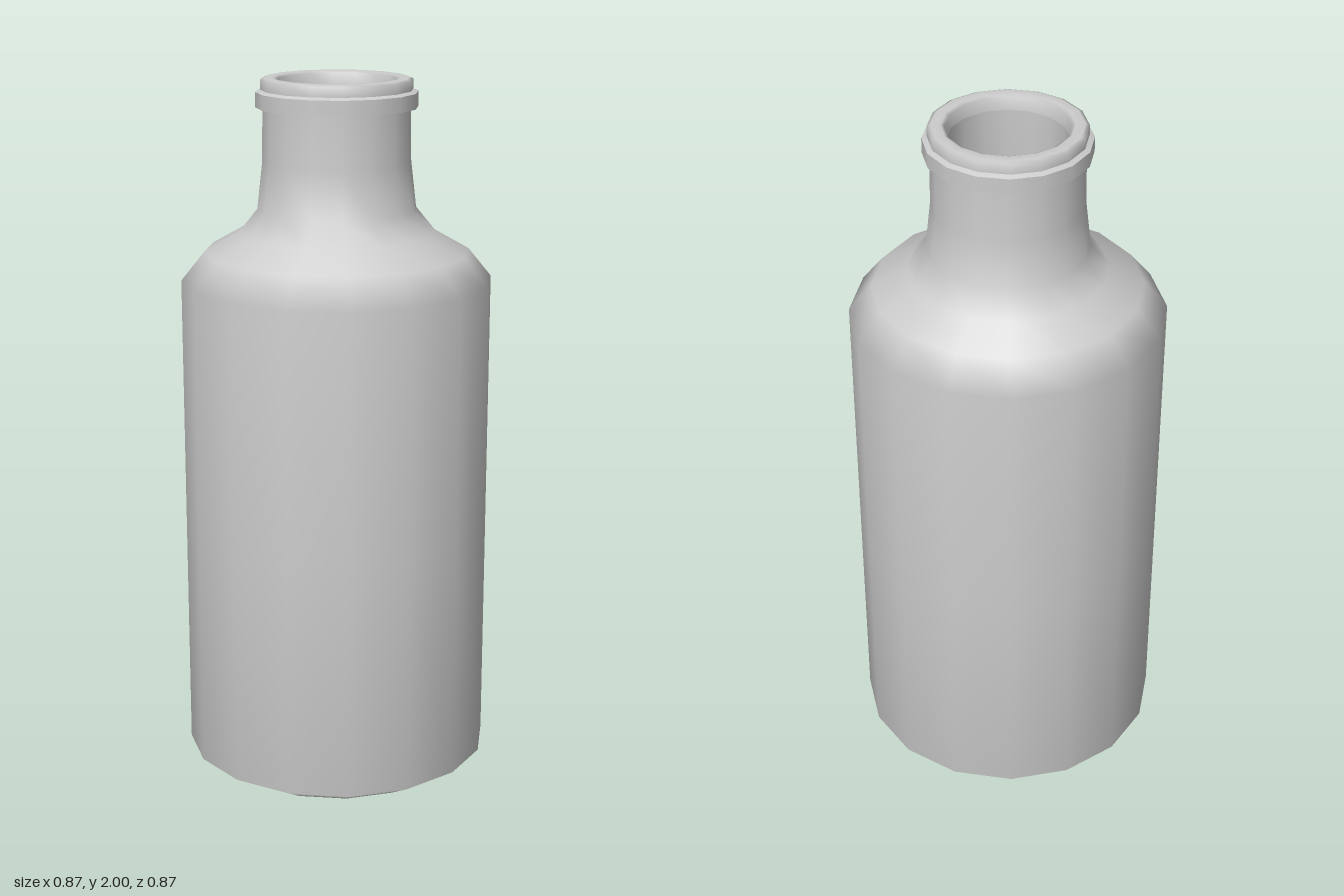
import * as THREE from 'three';

const SIDES = 16;
const material = new THREE.MeshStandardMaterial({ color: 0xcccccc });

// Revolve a list of [radius, height] points around the y axis
function turned(name, profile) {
  const points = profile.map(([r, y]) => new THREE.Vector2(r, y));
  const mesh = new THREE.Mesh(new THREE.LatheGeometry(points, SIDES), material);
  mesh.name = name;
  return mesh;
}

export function createModel() {
  const bottle = new THREE.Group();
  bottle.name = 'bottle';

  // Outer shell: base, straight body, sloped shoulder and neck
  bottle.add(turned('outerShell', [
    [0, 0.005], [0.33, 0.005], [0.35, 0], [0.437, 0.05], [0.437, 0.72], [0.437, 1.44],
    [0.372, 1.52], [0.275, 1.575], [0.222, 1.64], [0.207, 1.77], [0.205, 1.92],
  ]));

  // Band around the mouth, one crisp face at a time
  const band = new THREE.Group();
  band.name = 'neckBand';
  band.add(
    turned('bandUnderside', [[0.205, 1.92], [0.225, 1.92]]),
    turned('bandSide', [[0.225, 1.92], [0.225, 1.962]]),
    turned('bandTop', [[0.225, 1.962], [0.211, 1.968]]),
  );
  bottle.add(band);

  // Rounded lip above the band
  bottle.add(turned('lip', [
    [0.211, 1.968], [0.211, 1.995], [0.2, 2], [0.175, 2], [0.165, 1.995], [0.16, 1.96],
  ]));

  // Hollow interior, from the mouth down to the floor
  bottle.add(turned('interior', [
    [0.16, 1.96], [0.163, 1.77], [0.18, 1.63], [0.25, 1.54],
    [0.345, 1.485], [0.397, 1.42], [0.397, 0.08], [0.33, 0.04], [0, 0.04],
  ]));

  return bottle;
}
